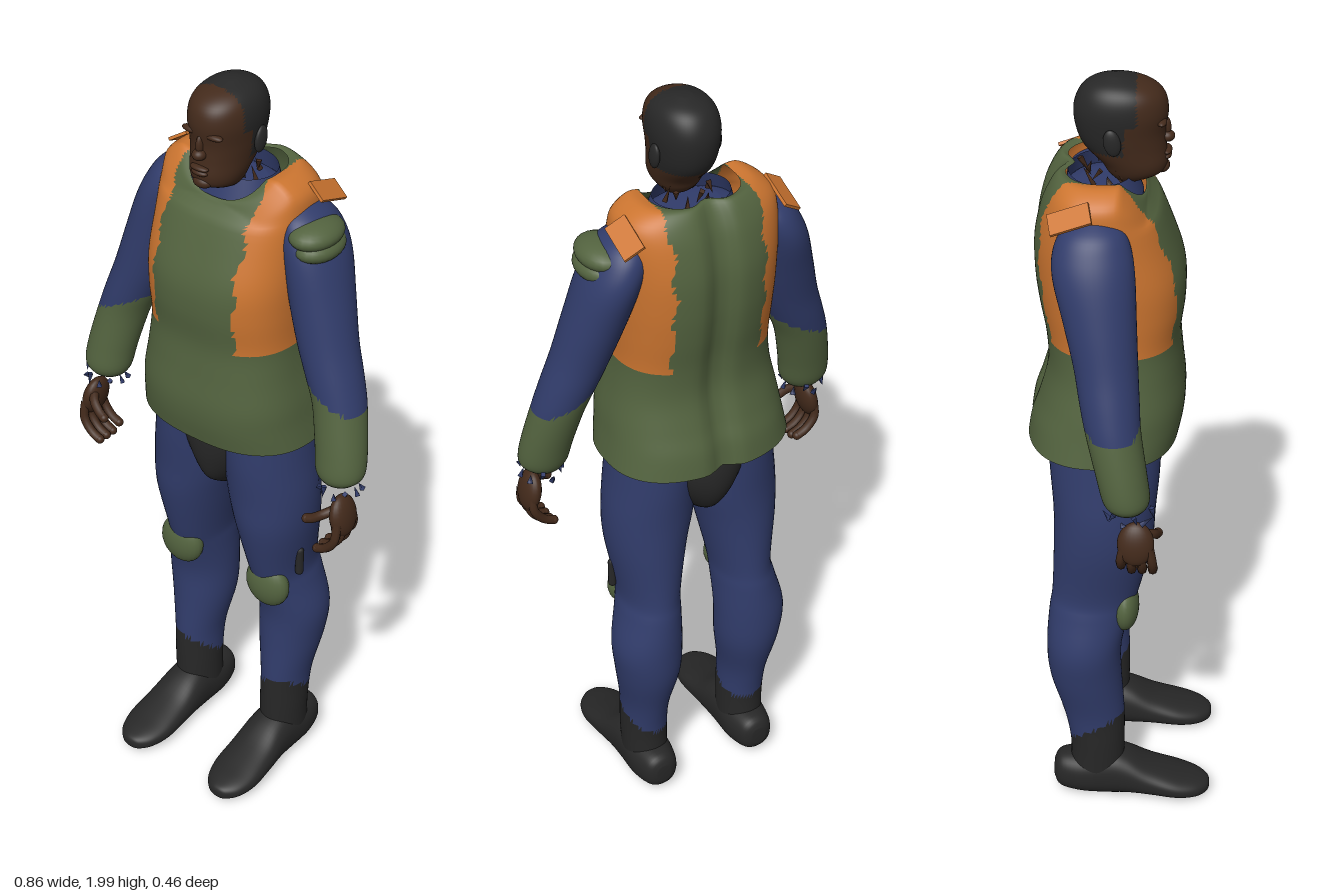
import * as THREE from 'three';

const mat = (name, color, side = THREE.FrontSide) => {
  const m = new THREE.MeshStandardMaterial({ color, side });
  m.name = name;
  return m;
};

// Smooth interpolation between four neighbouring values
const spline = (a, b, c, d, t) =>
  b + 0.5 * t * (c - a + t * (2 * a - 5 * b + 4 * c - d + t * (3 * (b - c) + d - a)));

// Skin rising cross-sections [y, centreX, halfWidth, frontZ, backZ].
// pick(x, y, z) returns the material index of each face; warp(v) adjusts points.
function loft(rings, { sub = 5, seg = 48, power = 2, side = 1, caps = true, pick = () => 0, warp } = {}) {
  const rows = [], pos = [], groups = [];
  for (let i = 0; i < rings.length - 1; i++) {
    const a = rings[Math.max(i - 1, 0)], b = rings[i], c = rings[i + 1];
    const d = rings[Math.min(i + 2, rings.length - 1)];
    for (let k = 0; k < sub; k++) rows.push(b.map((_, n) => spline(a[n], b[n], c[n], d[n], k / sub)));
  }
  rows.push(rings[rings.length - 1]);
  const v = new THREE.Vector3();
  const round = (q) => Math.sign(q) * Math.abs(q) ** (2 / power);
  for (const [y, cx, rx, zf, zb] of rows) {
    for (let j = 0; j < seg; j++) {
      const t = (j / seg) * Math.PI * 2;
      v.set(cx * side + rx * round(Math.cos(t)), y, (zf + zb) / 2 + ((zf - zb) / 2) * round(Math.sin(t)));
      if (warp) warp(v);
      pos.push(v.x, v.y, v.z);
    }
  }
  const add = (...tri) => {
    const mid = [0, 1, 2].map((n) => (pos[tri[0] * 3 + n] + pos[tri[1] * 3 + n] + pos[tri[2] * 3 + n]) / 3);
    const g = pick(...mid);
    (groups[g] ??= []).push(...tri);
  };
  for (let i = 0; i < rows.length - 1; i++) {
    for (let j = 0; j < seg; j++) {
      const a = i * seg + j, b = i * seg + ((j + 1) % seg), c = a + seg, d = b + seg;
      add(a, c, b);
      add(b, c, d);
    }
  }
  if (caps) {
    for (const [row, up] of [[0, false], [rows.length - 1, true]]) {
      const [y, cx, , zf, zb] = rows[row], o = row * seg, n = pos.length / 3;
      pos.push(cx * side, y, (zf + zb) / 2);
      for (let j = 0; j < seg; j++) {
        const a = o + j, b = o + ((j + 1) % seg);
        up ? add(n, b, a) : add(n, a, b);
      }
    }
  }
  const geo = new THREE.BufferGeometry();
  geo.setAttribute('position', new THREE.Float32BufferAttribute(pos, 3));
  const index = [];
  groups.forEach((g, n) => {
    geo.addGroup(index.length, g.length, n);
    for (const q of g) index.push(q);
  });
  geo.setIndex(index);
  geo.computeVertexNormals();
  return geo;
}

export function createModel() {
  const root = new THREE.Group();
  const green = mat('olive', 0x53633f, THREE.DoubleSide);
  const orange = mat('orange', 0xcc7530, THREE.DoubleSide);
  const blue = mat('navy', 0x313c6b, THREE.DoubleSide);
  const black = mat('black', 0x272727);
  const skin = mat('skin', 0x432a1b);

  const put = (name, geo, material, parent = root) => {
    const m = new THREE.Mesh(geo, material);
    m.name = name;
    parent.add(m);
    return m;
  };
  const ball = (name, material, p, r, parent = root) => {
    const m = put(name, new THREE.SphereGeometry(1, 24, 16), material, parent);
    m.position.set(...p);
    m.scale.set(...r);
    return m;
  };
  // Ring of thin ragged scraps
  const scraps = (name, material, n, [x, y, z], rx, rz, h) => {
    const g = new THREE.Group();
    g.name = name;
    for (let i = 0; i < n; i++) {
      const t = (i / n) * Math.PI * 2;
      const m = put('scrap', new THREE.ConeGeometry(0.008, h * (0.7 + 0.3 * Math.sin(i * 5)), 4), material, g);
      m.position.set(x + rx * Math.cos(t), y + 0.006 * Math.sin(i * 3), z + rz * Math.sin(t));
      m.rotation.set(Math.sin(i * 2) * 0.7, t, i % 2 ? Math.PI : 0.4);
    }
    root.add(g);
  };

  // Jacket with side panels, open at hem and neck, groove down the back
  put('jacket', loft([
    [1.08, 0, 0.238, 0.14, -0.23], [1.14, 0, 0.228, 0.152, -0.22], [1.2, 0, 0.22, 0.155, -0.2],
    [1.28, 0, 0.205, 0.147, -0.18], [1.36, 0, 0.197, 0.142, -0.182], [1.45, 0, 0.2, 0.152, -0.197],
    [1.53, 0, 0.203, 0.148, -0.206], [1.62, 0, 0.203, 0.118, -0.206], [1.7, 0, 0.203, 0.085, -0.19],
    [1.75, 0, 0.193, 0.068, -0.17], [1.78, 0, 0.15, 0.06, -0.15], [1.778, 0, 0.115, 0.055, -0.135],
  ], {
    seg: 96, power: 2.5, caps: false,
    pick: (x, y) => (y > 1.36 && Math.abs(x) > 0.118 + 0.006 * Math.sin(y * 55) ? 1 : 0),
    warp: (v) => {
      if (v.z < -0.05) v.z += 0.025 * Math.exp(-((v.x / 0.03) ** 2));
      if (v.z > 0 && v.y > 1.68) v.y -= (v.y - 1.68) * Math.min(1, v.z / 0.06) * 0.65;
    },
  }), [green, orange]);

  // Undershirt filling the neck opening
  put('undershirt', loft([
    [1.6, 0, 0.15, 0.08, -0.16], [1.68, 0, 0.13, 0.055, -0.145], [1.72, 0, 0.115, 0.04, -0.13], [1.735, 0, 0.07, 0.02, -0.1],
  ]), blue);
  put('collar', loft([[1.71, 0, 0.112, 0.05, -0.135], [1.765, 0, 0.095, 0.03, -0.125]], { caps: false }), blue);
  scraps('neckScraps', skin, 12, [0, 1.762, -0.03], 0.052, 0.055, 0.055);

  // Pelvis
  put('trunks', loft([
    [0.88, 0, 0.025, 0.03, -0.1], [0.92, 0, 0.055, 0.078, -0.16], [0.98, 0, 0.1, 0.1, -0.192],
    [1.05, 0, 0.135, 0.108, -0.196], [1.13, 0, 0.14, 0.105, -0.175],
  ]), black);

  // Head with cropped hair
  put('head', loft([
    [1.745, 0, 0.035, 0.04, -0.015], [1.765, 0, 0.053, 0.092, -0.035], [1.79, 0, 0.063, 0.105, -0.05],
    [1.83, 0, 0.07, 0.102, -0.088], [1.87, 0, 0.076, 0.1, -0.106], [1.92, 0, 0.081, 0.106, -0.112],
    [1.96, 0, 0.074, 0.095, -0.1], [1.985, 0, 0.053, 0.06, -0.075], [2.0, 0, 0.015, 0.0, -0.03],
  ], {
    power: 2.1, seg: 64,
    pick: (x, y, z) => (y > 1.825 && z < (y > 1.9 ? 0.034 : 0.005) ? 1 : 0),
  }), [skin, black]);
  ball('nose', skin, [0, 1.85, 0.103], [0.017, 0.014, 0.018]);
  ball('noseBridge', skin, [0, 1.872, 0.1], [0.009, 0.026, 0.012]);
  ball('upperLip', skin, [0, 1.816, 0.103], [0.026, 0.007, 0.012]);
  ball('lowerLip', skin, [0, 1.804, 0.102], [0.023, 0.008, 0.012]);
  ball('chin', skin, [0, 1.776, 0.09], [0.026, 0.016, 0.02]);

  for (const s of [1, -1]) {
    const S = s > 0 ? 'left' : 'right';
    ball(S + 'Brow', skin, [0.032 * s, 1.9, 0.091], [0.026, 0.008, 0.012]);
    ball(S + 'Ear', black, [0.08 * s, 1.865, -0.02], [0.01, 0.033, 0.02]).rotation.x = -0.2;

    // Sleeve and forearm guard
    put(S + 'Arm', loft([
      [1.065, 0.365, 0.045, 0.07, -0.015], [1.09, 0.366, 0.062, 0.082, -0.03], [1.15, 0.358, 0.065, 0.075, -0.045],
      [1.25, 0.335, 0.066, 0.06, -0.07], [1.32, 0.31, 0.07, 0.055, -0.085], [1.4, 0.28, 0.073, 0.05, -0.1],
      [1.5, 0.25, 0.075, 0.045, -0.125], [1.6, 0.222, 0.072, 0.04, -0.15], [1.66, 0.2, 0.066, 0.03, -0.148],
      [1.7, 0.185, 0.052, 0.01, -0.125], [1.725, 0.172, 0.02, -0.03, -0.08],
    ], {
      side: s,
      pick: (x, y) => (y < 1.28 - (Math.abs(x) - 0.33) * 0.5 ? 1 : 0),
    }), [blue, green]);
    scraps(S + 'CuffScraps', blue, 11, [0.37 * s, 1.055, 0.035], 0.05, 0.055, 0.035);

    // Hand with curled fingers
    const hand = new THREE.Group();
    hand.name = S + 'Hand';
    root.add(hand);
    ball('palm', skin, [0.395 * s, 0.98, 0.05], [0.024, 0.056, 0.044], hand).rotation.z = 0.2 * s;
    const finger = (name, pts, r) => {
      const p = pts.map(([x, y, z]) => new THREE.Vector3(x * s, y, z));
      put(name, new THREE.TubeGeometry(new THREE.CatmullRomCurve3(p), 12, r, 8), skin, hand);
      ball(name + 'Tip', skin, p[p.length - 1].toArray(), [r, r, r], hand);
    };
    for (let k = 0; k < 4; k++) {
      const z = 0.09 - k * 0.025, up = k === 3 ? 0.012 : 0;
      finger('finger', [[0.402, 0.975, z * 0.8 + 0.01], [0.4, 0.925 + up, z], [0.375, 0.892 + up, z], [0.35, 0.88 + up, z]], 0.0115);
    }
    finger('thumb', [[0.39, 1.005, 0.06], [0.365, 0.99, 0.088], [0.34, 0.972, 0.097], [0.324, 0.965, 0.1]], 0.012);

    // Trouser leg with boot shaft
    put(S + 'Leg', loft([
      [0.08, 0.145, 0.058, 0.01, -0.13], [0.18, 0.146, 0.06, 0.012, -0.128], [0.28, 0.147, 0.062, 0.012, -0.145],
      [0.4, 0.147, 0.083, 0.005, -0.178], [0.5, 0.15, 0.09, 0.005, -0.185], [0.6, 0.138, 0.079, 0.028, -0.178],
      [0.66, 0.132, 0.076, 0.048, -0.17], [0.8, 0.128, 0.1, 0.08, -0.165], [0.9, 0.118, 0.112, 0.088, -0.165],
      [1.0, 0.11, 0.108, 0.097, -0.172], [1.1, 0.1, 0.105, 0.1, -0.178],
    ], {
      side: s,
      pick: (x, y, z) => (y < 0.268 + z * 0.6 + (Math.abs(x) - 0.147) * 0.3 ? 1 : 0),
    }), [blue, black]);

    // Boot foot, skinned from heel to toe
    const foot = loft([
      [-0.172, 0.145, 0.02, -0.05, -0.1], [-0.155, 0.145, 0.045, -0.025, -0.125], [-0.1, 0.145, 0.06, -0.014, -0.135],
      [-0.03, 0.145, 0.061, -0.01, -0.15], [0.02, 0.145, 0.063, -0.014, -0.138], [0.08, 0.147, 0.067, -0.018, -0.105],
      [0.15, 0.149, 0.068, -0.016, -0.08], [0.2, 0.15, 0.054, -0.016, -0.066], [0.228, 0.15, 0.03, -0.02, -0.056],
      [0.236, 0.15, 0.01, -0.03, -0.046],
    ], { side: s, power: 2.3 });
    foot.rotateX(Math.PI / 2);
    put(S + 'Boot', foot, black);

    ball(S + 'KneePad', green, [0.141 * s, 0.612, 0.013], [0.064, 0.068, 0.036]);

    // Loose shoulder flap behind the armhole
    const flap = put(S + 'ShoulderFlap', new THREE.BoxGeometry(0.055, 0.008, 0.1), orange);
    flap.position.set(0.205 * s, 1.735, -0.11);
    flap.rotation.set(-0.35, 0, -0.6 * s);
  }

  // Armour on the left shoulder, pouch on the left thigh
  ball('shoulderPadTop', green, [0.23, 1.668, -0.038], [0.058, 0.034, 0.078]);
  ball('shoulderPadRim', green, [0.24, 1.638, -0.038], [0.053, 0.033, 0.074]);
  const pouch = put('thighPouch', new THREE.CapsuleGeometry(0.011, 0.065, 4, 10), black);
  pouch.position.set(0.212, 0.695, -0.025);
  return root;
}
